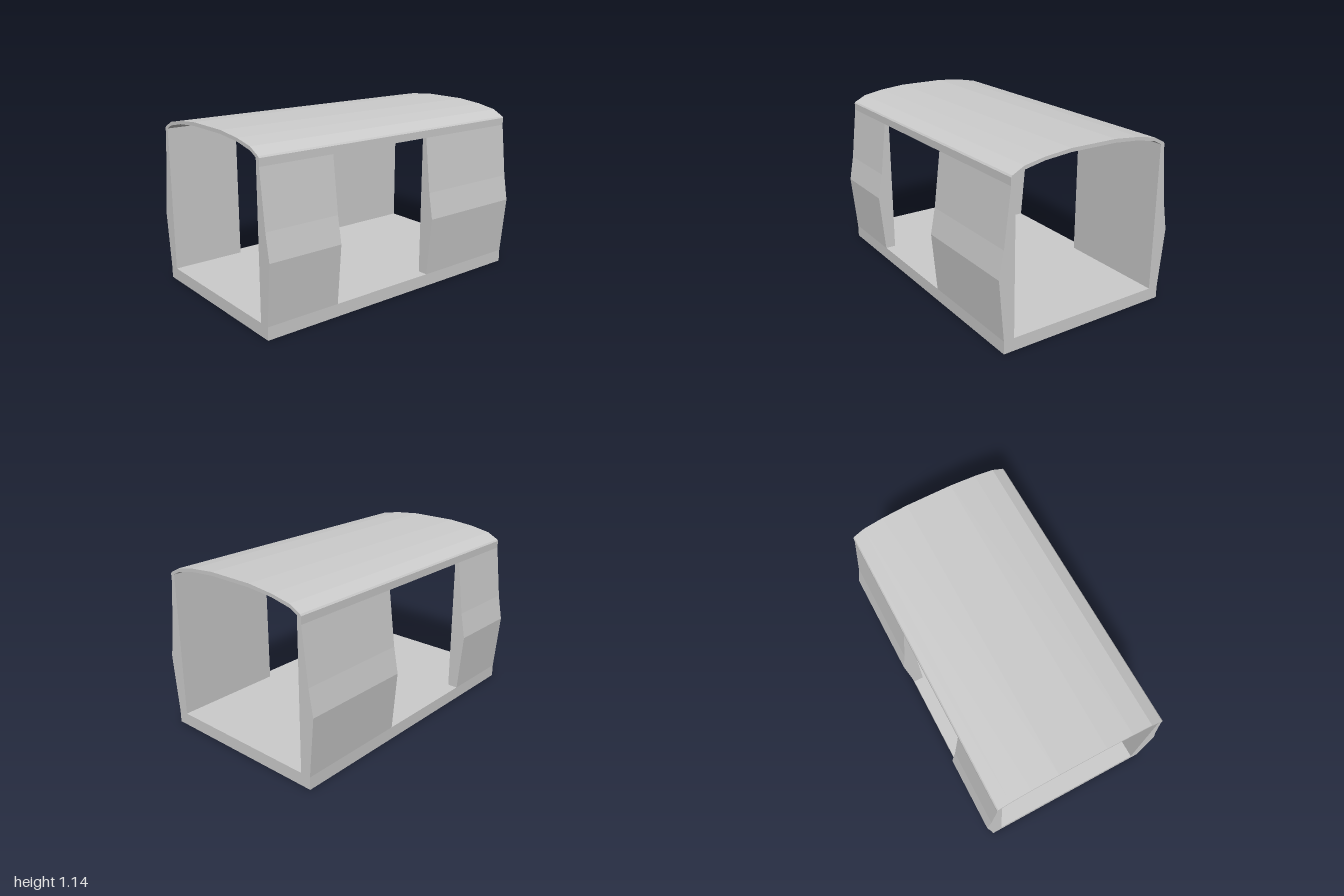
import * as THREE from 'three';

const LENGTH = 2;
const FLOOR_Y = 0.083; // top of floor and door sill
const HEAD_Y = 1.0; // top of door opening
const INNER_X = 0.53;

const mirrorX = (pts) => pts.map(([x, y]) => [-x, y]).reverse();

// Extrude a cross-section (x, y) along z between two stations
function extrudeZ(name, points, z0, z1, material) {
  const shape = new THREE.Shape(points.map(([x, y]) => new THREE.Vector2(x, y)));
  const geometry = new THREE.ExtrudeGeometry(shape, { depth: z1 - z0, bevelEnabled: false });
  geometry.translate(0, 0, z0);
  const mesh = new THREE.Mesh(geometry, material);
  mesh.name = name;
  return mesh;
}

export function createModel() {
  const group = new THREE.Group();
  group.name = 'openCabin';
  const material = new THREE.MeshStandardMaterial({ color: 0xcccccc, flatShading: true });
  const half = LENGTH / 2;

  // Floor slab
  group.add(extrudeZ('floor',
    [[-0.6, 0], [0.6, 0], [0.6, FLOOR_Y], [-0.6, FLOOR_Y]], -half, half, material));

  // Curved roof with the wall tops above the doors
  const outer = [[0.56, HEAD_Y], [0.56, 1.048], [0.553, 1.058], [0.475, 1.098], [0.34, 1.123], [0.16, 1.14]];
  const inner = [[0.16, 1.117], [0.34, 1.102], [0.475, 1.075], [INNER_X, 1.047], [INNER_X, HEAD_Y]];
  group.add(extrudeZ('roof',
    [...outer, ...mirrorX(outer), ...mirrorX(inner), ...inner], -half, half, material));

  // Bulged wall panels on both sides, before and behind the door openings
  const wall = [[INNER_X, FLOOR_Y], [0.6, FLOOR_Y], [0.635, 0.473], [0.603, 0.645], [0.56, HEAD_Y], [INNER_X, HEAD_Y]];
  for (const [name, z0, z1] of [['rearWall', -half, -0.25], ['frontWall', 0.5, half]]) {
    group.add(extrudeZ(name + 'Left', wall, z0, z1, material));
    group.add(extrudeZ(name + 'Right', mirrorX(wall), z0, z1, material));
  }
  return group;
}
